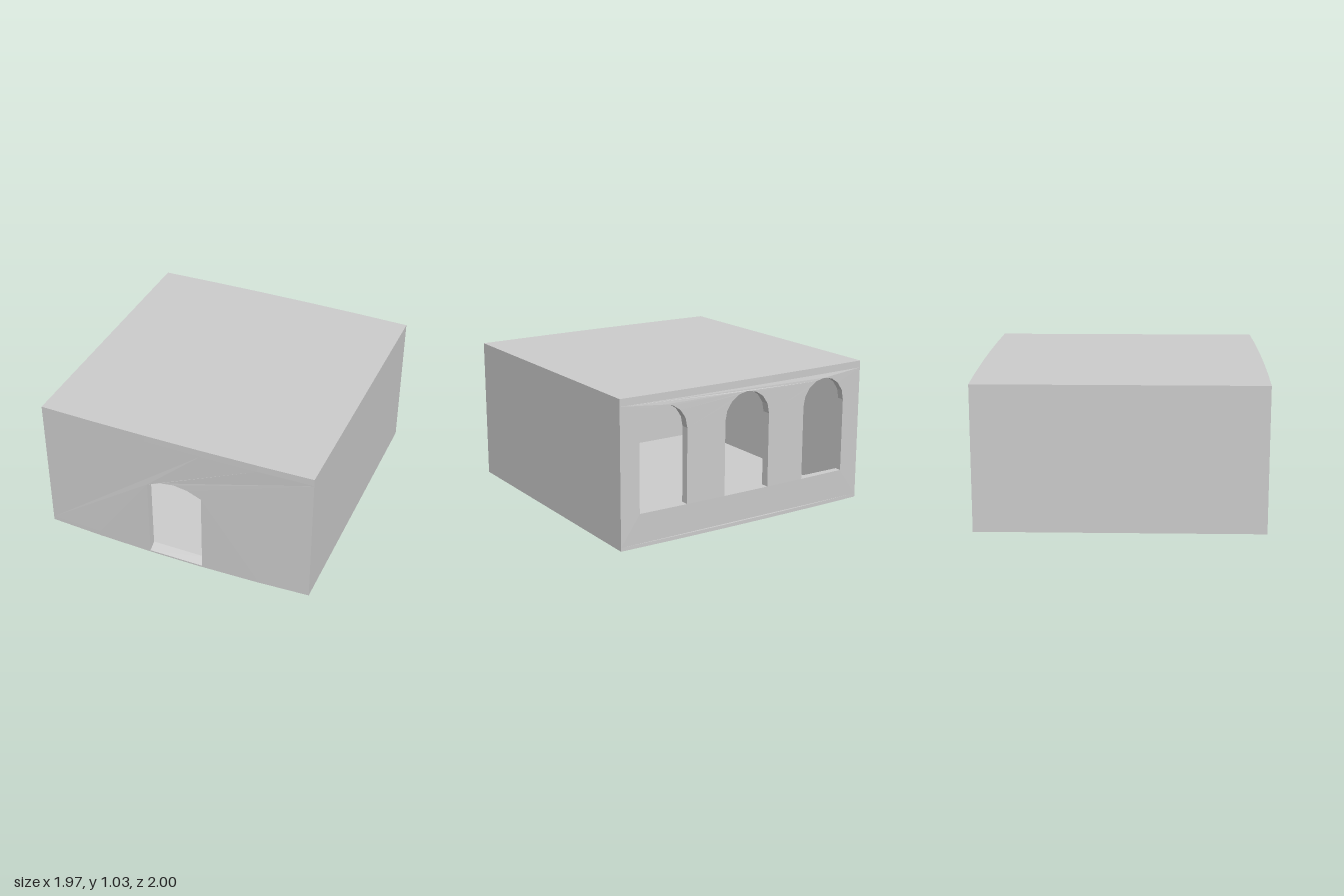
import * as THREE from 'three';

const HALF = 0.985, WALL = 0.045, FLOOR = 0.045, CEILING = 0.98, TOP = 1.03;
const XS = [-HALF, -0.6, -0.2, 0.2, 0.6, HALF];
const material = new THREE.MeshStandardMaterial({ color: 0xcccccc, flatShading: true });

const bulge = (x) => 0.015 * Math.max(0, 1 - (x / HALF) ** 2);
const points = (list) => list.map(([x, y]) => new THREE.Vector2(x, y));

// Bow the front and back faces slightly outwards
function bow(geometry) {
  const p = geometry.attributes.position;
  for (let i = 0; i < p.count; i++) {
    const x = p.getX(i), z = p.getZ(i);
    if (Math.abs(z) > 0.97) p.setZ(i, z + Math.sign(z) * bulge(x));
  }
  geometry.computeVertexNormals();
  return geometry;
}

// Points of an arch from +half to -half about cx
function arch(cx, half, spring, rise, segments) {
  return Array.from({ length: segments + 1 }, (_, i) => {
    const a = (Math.PI * i) / segments;
    return [cx + half * Math.cos(a), spring + rise * Math.sin(a)];
  });
}

// Upright wall with its thickness along z
function wall(outline, holes, z) {
  const shape = new THREE.Shape(points(outline));
  for (const h of holes) shape.holes.push(new THREE.Path(points(h)));
  const g = new THREE.ExtrudeGeometry(shape, { depth: WALL, bevelEnabled: false });
  return bow(g.translate(0, 0, z));
}

// Horizontal slab between two heights
function slab(outline, bottom, top) {
  const shape = new THREE.Shape(points(outline.map(([x, z]) => [x, -z])));
  const g = new THREE.ExtrudeGeometry(shape, { depth: top - bottom, bevelEnabled: false });
  return bow(g.rotateX(-Math.PI / 2).translate(0, bottom, 0));
}

export function createModel() {
  const group = new THREE.Group();
  const add = (name, geometry) => {
    const mesh = new THREE.Mesh(geometry, material);
    mesh.name = name;
    group.add(mesh);
    return mesh;
  };
  const topEdge = [...XS].reverse().map((x) => [x, CEILING]);

  // Front wall with a low arched doorway
  const door = [[-0.2, 0.615], [-0.1, 0.658], [0, 0.673], [0.1, 0.658], [0.2, 0.615]];
  add('frontWall', wall([
    [-HALF, FLOOR], [-0.6, FLOOR], [-0.2, FLOOR], ...door,
    [0.2, FLOOR], [0.6, FLOOR], [HALF, FLOOR], ...topEdge,
  ], [], HALF - WALL));

  // Back wall with three round-topped windows
  const windows = [-0.655, 0.005, 0.665].map((cx) => [
    [cx - 0.18, 0.25], [cx + 0.18, 0.25], ...arch(cx, 0.18, 0.77, 0.18, 8),
  ]);
  add('backWall', wall([...XS.map((x) => [x, FLOOR]), ...topEdge], windows, -HALF));

  // Side walls
  for (const s of [-1, 1]) {
    const g = new THREE.BoxGeometry(WALL, CEILING - FLOOR, 2 * (HALF - WALL));
    add(s > 0 ? 'leftWall' : 'rightWall', g).position.set(
      s * (HALF - WALL / 2), (CEILING + FLOOR) / 2, 0);
  }

  // Flat roof
  const front = [...XS].reverse().map((x) => [x, HALF]);
  const back = XS.map((x) => [x, -HALF]);
  add('roof', slab([...back, ...front], CEILING, TOP));

  // Floor, notched at the doorway, its underside sagging towards the front
  const inner = HALF - WALL;
  const floorPlan = [...back, [HALF, HALF], [0.6, HALF], [0.2, HALF],
    [0.2, inner], [-0.2, inner], [-0.2, HALF], [-0.6, HALF], [-HALF, HALF]];
  const floor = slab(floorPlan, 0.02, FLOOR);
  const sag = (x, z) => 0.02 - 0.02 * (1 - (x / HALF) ** 2) * (z + 1) / 2;
  const p = floor.attributes.position;
  for (let i = 0; i < p.count; i++) {
    if (p.getY(i) < 0.03) p.setY(i, sag(p.getX(i), p.getZ(i)));
  }
  floor.computeVertexNormals();
  add('floor', floor);

  // Sloping threshold in the doorway
  const z1 = HALF + bulge(0.2);
  const ramp = new THREE.Shape(points([
    [-inner, 0.001], [-inner, FLOOR], [-z1, 0.012], [-z1, 0],
  ]));
  const rampGeometry = new THREE.ExtrudeGeometry(ramp, { depth: 0.4, bevelEnabled: false });
  add('threshold', rampGeometry.rotateY(Math.PI / 2).translate(-0.2, 0, 0));

  return group;
}
